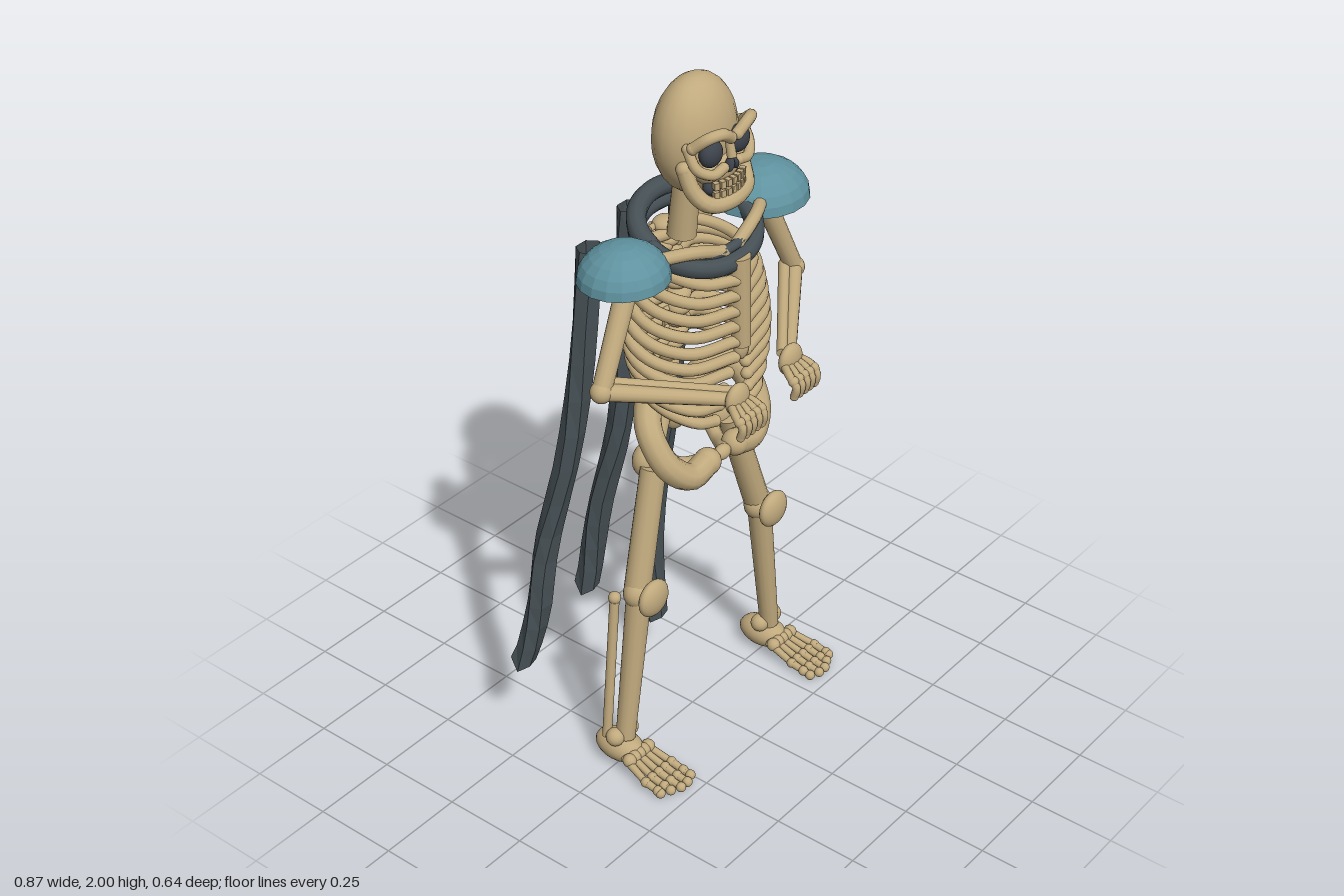
import * as THREE from 'three';

const mat = (name, color, extra = {}) => Object.assign(new THREE.MeshStandardMaterial({ color, ...extra }), { name });
const CX = 0.018; // body midline
const V = (p) => new THREE.Vector3(...p);

export function createModel() {
  const root = new THREE.Group();
  const bone = mat('bone', 0xc0a97d);
  const dark = mat('socket', 0x3d434c);
  const cloth = mat('cloth', 0x465055, { side: THREE.DoubleSide });
  const clothFlat = mat('clothStrip', 0x465055, { side: THREE.DoubleSide, flatShading: true });
  const teal = mat('shoulderPlate', 0x5f929f, { side: THREE.DoubleSide, flatShading: true });

  const add = (name, geo, m = bone, parent = root) => {
    const mesh = new THREE.Mesh(geo, m);
    mesh.name = name;
    parent.add(mesh);
    return mesh;
  };
  const group = (name) => {
    const g = new THREE.Group();
    g.name = name;
    root.add(g);
    return g;
  };
  const ball = (name, p, r, m, parent) => {
    const s = add(name, new THREE.SphereGeometry(1, 20, 14), m, parent);
    s.position.set(...p);
    s.scale.set(...(Array.isArray(r) ? r : [r, r, r]));
    return s;
  };
  // Straight bone between two points
  const rod = (name, a, b, r1, r2, parent) => {
    const A = V(a), B = V(b), d = B.clone().sub(A);
    const c = add(name, new THREE.CylinderGeometry(r2, r1, d.length(), 14), bone, parent);
    c.position.copy(A).add(B).multiplyScalar(0.5);
    c.quaternion.setFromUnitVectors(new THREE.Vector3(0, 1, 0), d.normalize());
    return c;
  };
  // Curved bone with rounded ends
  const tube = (name, pts, r, m = bone, parent = root, segs = 24) => {
    add(name, new THREE.TubeGeometry(new THREE.CatmullRomCurve3(pts.map(V)), segs, r, 10), m, parent);
    for (const p of [pts[0], pts[pts.length - 1]]) ball(name + 'End', p, r, m, parent);
  };

  // Skull
  const skull = group('skull');
  ball('cranium', [CX, 1.838, -0.007], [0.13, 0.162, 0.096], bone, skull);
  ball('upperJaw', [CX, 1.765, 0.06], [0.075, 0.045, 0.05], bone, skull);
  for (const s of [-1, 1]) {
    const x = (d) => CX + s * d;
    ball('eyeSocket', [x(0.055), 1.828, 0.088], [0.037, 0.037, 0.026], dark, skull);
    tube('browRidge', [[x(0.105), 1.855, 0.07], [x(0.085), 1.885, 0.105], [x(0.05), 1.888, 0.12], [x(0.014), 1.866, 0.118]], 0.016, bone, skull);
    tube('cheekbone', [[x(0.108), 1.85, 0.055], [x(0.105), 1.80, 0.085], [x(0.07), 1.78, 0.108], [x(0.03), 1.785, 0.11]], 0.014, bone, skull);
    const nose = ball('noseHole', [x(0.009), 1.787, 0.112], [0.009, 0.02, 0.014], dark, skull);
    nose.rotation.z = s * 0.35;
  }
  rod('noseBridge', [CX, 1.805, 0.112], [CX, 1.865, 0.1], 0.013, 0.011, skull);
  tube('jaw', [-0.107, -0.1, -0.075, 0, 0.075, 0.1, 0.107].map((d, i) =>
    [CX + d, [1.79, 1.73, 1.695, 1.688, 1.695, 1.73, 1.79][i], [0.045, 0.07, 0.1, 0.118, 0.1, 0.07, 0.045][i]]), 0.022, bone, skull);
  ball('mouthGap', [CX, 1.727, 0.08], [0.068, 0.032, 0.032], dark, skull);
  for (let i = 0; i < 7; i++) for (const y of [1.742, 1.717]) {
    const d = (i - 3) * 0.018;
    const t = add('tooth', new THREE.BoxGeometry(0.014, 0.019, 0.016), bone, skull);
    t.position.set(CX + d, y, 0.116 - d * d * 4);
    t.rotation.y = d * 8;
  }

  // Neck, spine and sacrum
  rod('neck', [CX, 1.53, -0.05], [CX, 1.72, -0.03], 0.04, 0.036);
  const spine = group('spine');
  for (let i = 0; i < 15; i++) {
    const y = 1.54 - i * 0.0385, z = -0.085 + 0.025 * Math.sin(i / 14 * Math.PI * 2 - 1);
    ball('vertebra', [CX, y, z], [0.036, 0.023, 0.034], bone, spine);
    rod('spinousProcess', [CX, y, z], [CX, y - 0.02, z - 0.05], 0.012, 0.007, spine);
    rod('transverseProcess', [CX - 0.05, y, z - 0.012], [CX + 0.05, y, z - 0.012], 0.009, 0.009, spine);
  }
  ball('sacrum', [CX, 0.99, -0.07], [0.055, 0.07, 0.03], bone, spine);

  // Rib cage
  const ribs = group('ribCage');
  for (let i = 0; i < 10; i++) {
    const w = [0.14, 0.175, 0.195, 0.21, 0.222, 0.23, 0.228, 0.22, 0.205, 0.185][i];
    const back = 1.525 - i * 0.036, front = 1.47 - i * 0.046;
    const gap = i < 5 ? 0.02 : 0.025 + (i - 5) * 0.012;
    const zf = i < 6 ? 0.145 : 0.14 - (i - 5) * 0.005;
    const at = (t) => back + (front - back) * t;
    for (const s of [-1, 1]) tube('rib', [
      [CX + s * 0.02, back, -0.085], [CX + s * w * 0.6, at(0.1), -0.105], [CX + s * w * 0.93, at(0.35), -0.05],
      [CX + s * w * 0.97, at(0.62), 0.03], [CX + s * w * 0.7, at(0.9), 0.105], [CX + s * gap, front, zf],
    ], 0.0165, bone, ribs);
  }
  rod('breastbone', [CX, 1.27, 0.148], [CX, 1.53, 0.135], 0.026, 0.034, ribs);
  ball('breastboneTip', [CX, 1.26, 0.148], [0.024, 0.035, 0.018], bone, ribs);

  // Pelvis
  const pelvis = group('pelvis');
  for (const s of [-1, 1]) {
    const x = (d) => CX + s * d;
    tube('hipBone', [[x(0.09), 1.04, -0.075], [x(0.15), 1.075, -0.045], [x(0.2), 1.035, 0.0], [x(0.195), 0.95, 0.055],
      [x(0.135), 0.895, 0.085], [x(0.06), 0.905, 0.085]], 0.038, bone, pelvis);
    tube('sitBone', [[x(0.05), 1.0, -0.07], [x(0.085), 0.94, -0.06], [x(0.105), 0.9, -0.045], [x(0.08), 0.875, 0.01], [x(0.02), 0.9, 0.08]], 0.02, bone, pelvis);
    ball('hipJoint', [x(0.155), 0.905, -0.045], [0.045, 0.052, 0.04], bone, pelvis);
  }
  ball('pubicJoint', [CX, 0.905, 0.088], [0.03, 0.022, 0.02], bone, pelvis);

  // Legs and feet
  for (const [side, hip, knee, ankle] of [['right', -0.155, -0.25, -0.315], ['left', 0.175, 0.285, 0.348]]) {
    const s = Math.sign(hip), g = group(side + 'Leg');
    rod('femur', [knee, 0.56, 0.008], [hip, 0.905, -0.01], 0.038, 0.036, g);
    ball('kneeJoint', [knee, 0.555, 0.012], [0.046, 0.045, 0.04], bone, g);
    ball('kneecap', [knee, 0.56, 0.065], [0.056, 0.055, 0.026], bone, g);
    rod('tibia', [ankle, 0.09, 0.012], [knee, 0.56, 0.015], 0.028, 0.036, g);
    rod('fibula', [ankle + s * 0.03, 0.09, -0.03], [knee + s * 0.045, 0.54, -0.035], 0.014, 0.014, g);
    ball('fibulaHead', [knee + s * 0.045, 0.54, -0.035], 0.018, bone, g);
    for (const d of [-0.03, 0.03]) ball('ankleKnob', [ankle + d, 0.1, 0.0], 0.027, bone, g);
    ball('heel', [ankle, 0.05, -0.008], [0.05, 0.044, 0.08], bone, g);
    for (let i = 0; i < 5; i++) {
      const k = i - 2, x0 = ankle + k * 0.02, x1 = ankle + k * 0.028 + s * 0.005;
      const end = 0.215 - Math.max(0, k * s) * 0.014 - (k * s === -2 ? 0.012 : 0);
      const p = [[x0, 0.052, 0.04], [x1, 0.028, 0.135], [x1, 0.02, 0.178], [x1, 0.016, end]];
      ball('footKnob', [x0, 0.052, 0.06], 0.02, bone, g);
      for (let j = 0; j < 3; j++) {
        rod('toeBone', p[j], p[j + 1], 0.012, 0.01, g);
        ball('toeKnuckle', p[j + 1], 0.0145, bone, g);
      }
    }
  }

  // Arms and hands
  for (const [side, sh, el, wr] of [
    ['right', [-0.245, 1.54, -0.005], [-0.405, 1.285, 0.03], [-0.135, 1.215, 0.25]],
    ['left', [0.3, 1.54, -0.005], [0.405, 1.285, 0.03], [0.09, 1.225, 0.25]]]) {
    const g = group(side + 'Arm');
    ball('shoulderJoint', sh, 0.042, bone, g);
    rod('humerus', el, sh, 0.026, 0.03, g);
    ball('elbow', el, [0.03, 0.03, 0.03], bone, g);
    rod('ulna', el, wr, 0.024, 0.018, g);
    rod('radius', [el[0] * 0.95, el[1] + 0.012, el[2] - 0.018], [wr[0] * 0.95, wr[1] + 0.015, wr[2] - 0.02], 0.017, 0.014, g);
    ball('wrist', [wr[0], wr[1] + 0.005, wr[2] + 0.005], [0.044, 0.045, 0.022], bone, g);
    const off = side === 'right' ? -0.01 : -0.008;
    for (let i = 0; i < 5; i++) {
      const x = wr[0] + off + (i - 2) * 0.022, x0 = wr[0] + (i - 2) * 0.014;
      tube('finger', [[x0, wr[1], 0.255], [x, wr[1] - 0.012, 0.295], [x, wr[1] - 0.035, 0.315], [x, wr[1] - 0.065, 0.308]], 0.0115, bone, g, 10);
      ball('knuckle', [x, wr[1] - 0.02, 0.305], 0.0145, bone, g);
    }
    tube('collarbone', [[CX + Math.sign(sh[0]) * 0.03, 1.545, 0.11], [CX + (sh[0] - CX) * 0.5, 1.575, 0.085], [sh[0], 1.565, 0.0]], 0.018, bone, g);
    const blade = ball('shoulderBlade', [CX + (sh[0] - CX) * 0.55, 1.46, -0.115], [0.05, 0.085, 0.014], bone, g);
    blade.rotation.z = Math.sign(sh[0]) * -0.25;
  }

  // Shoulder plates: open domes
  for (const [name, x, r, h] of [['rightShoulderPlate', -0.266, 0.126, 0.097], ['leftShoulderPlate', 0.296, 0.14, 0.103]]) {
    const d = add(name, new THREE.SphereGeometry(1, 18, 6, 0, Math.PI * 2, 0, Math.PI / 2), teal);
    d.position.set(x, 1.54, -0.008);
    d.scale.set(r, h, r * 0.94);
  }

  // Collar of rolled cloth
  const arc = (name, y0, y1, rx, rz, z0, r, dir) => tube(name, Array.from({ length: 9 }, (_, i) => {
    const a = Math.PI * i / 8;
    return [CX - Math.cos(a) * rx, y0 + (y1 - y0) * Math.sin(a), z0 + dir * Math.sin(a) * rz];
  }), r, cloth, root, 40);
  arc('collarBack', 1.575, 1.63, 0.168, 0.125, -0.015, 0.027, -1);
  arc('collarFront', 1.575, 1.515, 0.178, 0.13, 0.0, 0.026, 1);
  arc('collarFold', 1.56, 1.548, 0.17, 0.115, 0.0, 0.014, 1);
  arc('collarLowerBack', 1.575, 1.59, 0.17, 0.13, -0.01, 0.024, -1);

  // Hanging cloth strips: six-sided tubes with a notched lower end
  const strip = (name, pts, w, d) => {
    const curve = new THREE.CatmullRomCurve3(pts.map(V)), n = 14, m = 6, pos = [], idx = [];
    for (let i = 0; i <= n; i++) {
      const p = curve.getPoint(i / n), turn = 0.25 * Math.sin(i * 0.8);
      for (let j = 0; j < m; j++) {
        const a = j / m * Math.PI * 2, x = Math.cos(a) * w, z = Math.sin(a) * d;
        const notch = i === n ? 0.05 * (1 - Math.abs(Math.cos(a))) * (j > 3 ? 1.2 : 0.6) : 0;
        pos.push(p.x + x * Math.cos(turn) - z * Math.sin(turn), p.y + notch, p.z + x * Math.sin(turn) + z * Math.cos(turn));
        if (i < n) {
          const q = i * m + j, k = i * m + (j + 1) % m;
          idx.push(q, k, q + m, k, k + m, q + m);
        }
      }
    }
    const geo = new THREE.BufferGeometry();
    geo.setAttribute('position', new THREE.Float32BufferAttribute(pos, 3));
    geo.setIndex(idx);
    geo.computeVertexNormals();
    add(name, geo, clothFlat);
  };
  strip('rightCloak', [[-0.225, 1.56, -0.155], [-0.25, 1.25, -0.165], [-0.29, 0.95, -0.19], [-0.335, 0.65, -0.24], [-0.365, 0.45, -0.25], [-0.4, 0.25, -0.285]], 0.039, 0.034);
  strip('middleCloak', [[-0.05, 1.6, -0.165], [-0.07, 1.3, -0.165], [-0.09, 0.95, -0.18], [-0.12, 0.65, -0.235], [-0.15, 0.38, -0.262]], 0.039, 0.034);
  strip('leftCloak', [[0.145, 1.57, -0.15], [0.135, 1.25, -0.165], [0.12, 0.9, -0.185], [0.112, 0.6, -0.225], [0.107, 0.35, -0.235], [0.102, 0.15, -0.22]], 0.039, 0.034);

  return root;
}
